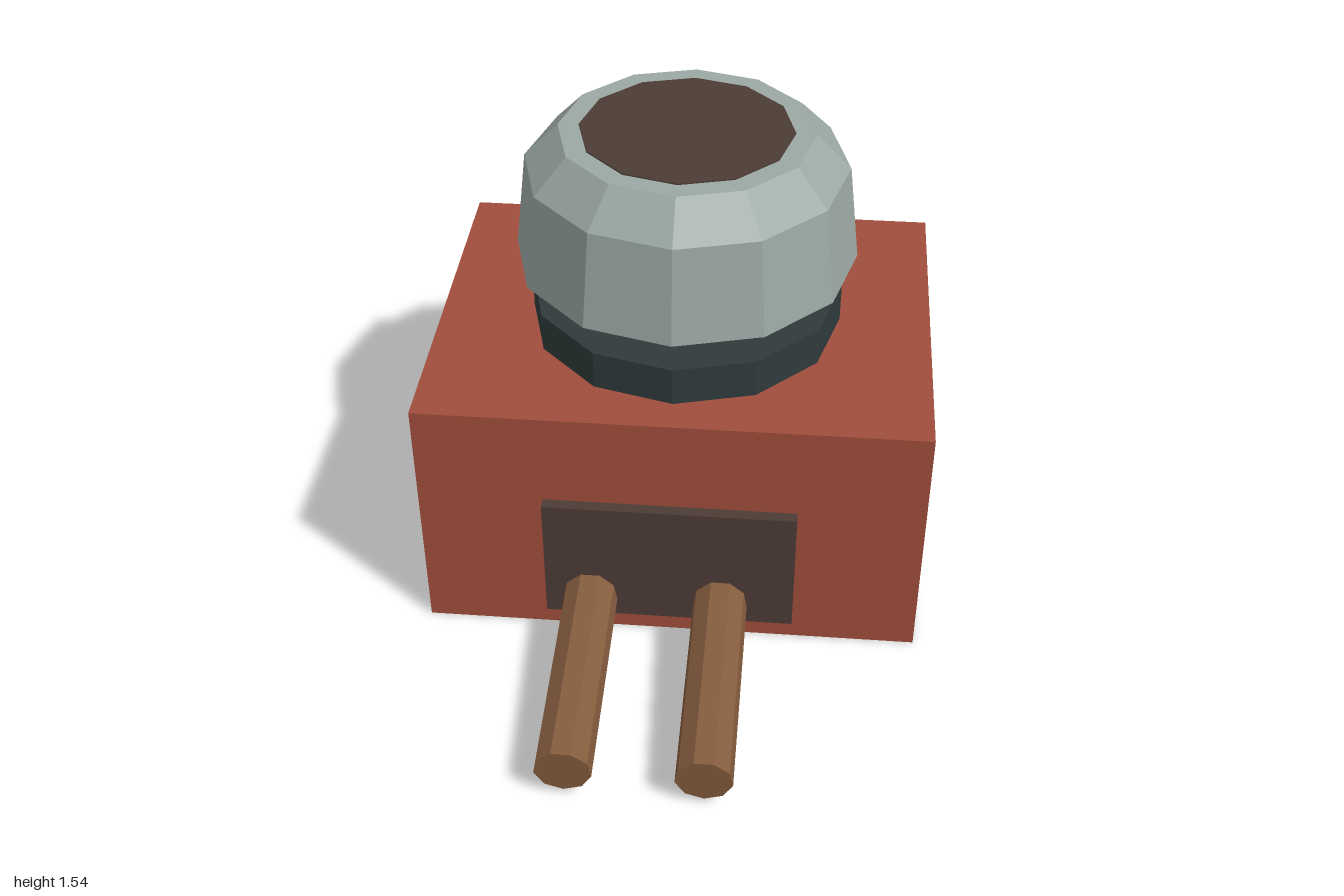
import * as THREE from 'three';

export function createModel() {
  const group = new THREE.Group();
  group.name = 'stoveWithPot';

  const mat = (name, color, flatShading = true) => {
    const m = new THREE.MeshStandardMaterial({ color, flatShading });
    m.name = name;
    return m;
  };
  const brick = mat('brickRed', 0xa04e3c);
  const soot = mat('sootBrown', 0x4c3b35);
  const iron = mat('darkIron', 0x303a3b);
  const metal = mat('paleMetal', 0x9ba8a4);
  const wood = mat('wood', 0x855c3d);

  const add = (name, geometry, material, x, y, z) => {
    const mesh = new THREE.Mesh(geometry, material);
    mesh.name = name;
    mesh.position.set(x, y, z);
    group.add(mesh);
    return mesh;
  };
  const Z = -0.373; // centre of the stove and the pot

  // Brick body and the fire opening on its front
  add('stoveBody', new THREE.BoxGeometry(1.616, 0.855, 1.255), brick, 0, 0.4275, Z);
  add('fireOpening', new THREE.BoxGeometry(0.81, 0.447, 0.05), soot, 0, 0.3125, 0.268);

  // Iron ring under the pot
  add('burnerRing', new THREE.CylinderGeometry(0.51, 0.51, 0.13, 12), iron, 0, 0.919, Z);

  // Faceted pot, closed at the bottom and the top
  const profile = [[0, 0.98], [0.355, 0.98], [0.553, 1.105], [0.515, 1.424], [0.405, 1.537], [0, 1.537]]
    .map(([r, y]) => new THREE.Vector2(r, y));
  add('pot', new THREE.LatheGeometry(profile, 12), metal, 0, 0, Z);

  // Dark contents, a thin disc on the pot's top
  add('potContents', new THREE.CylinderGeometry(0.338, 0.338, 0.006, 12), soot, 0, 1.538, Z);

  // Two logs sloping down out of the fire opening
  const length = 0.75;
  const logGeometry = new THREE.CylinderGeometry(0.089, 0.089, length, 9);
  logGeometry.rotateX(Math.PI / 2);
  logGeometry.translate(0, 0, -length / 2);
  for (const x of [-0.257, 0.168]) {
    add('log', logGeometry, wood, x, 0.109, 0.992).rotation.x = 0.087;
  }

  return group;
}
